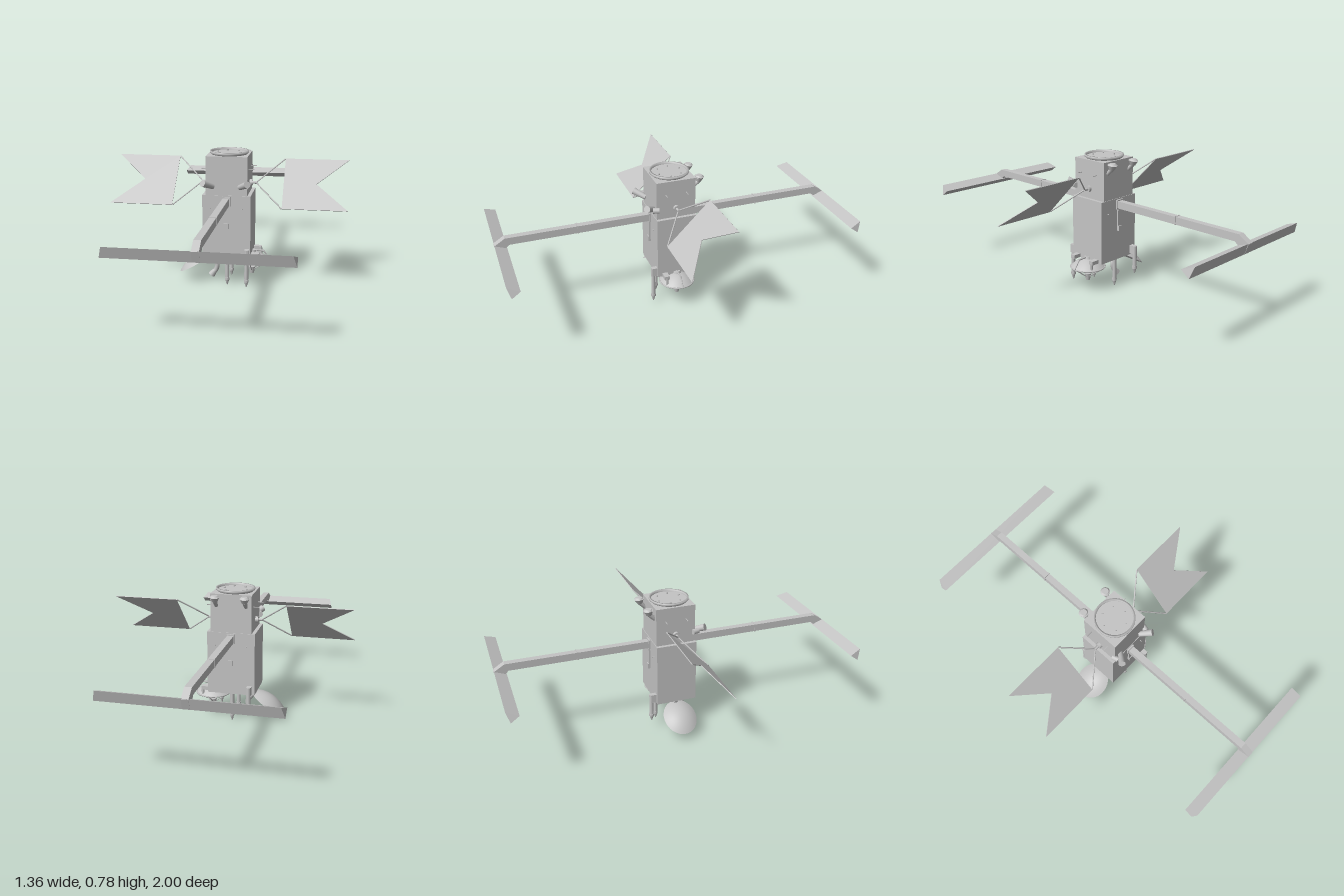
import * as THREE from 'three';

export function createModel() {
  const model = new THREE.Group();
  const grey = new THREE.MeshStandardMaterial({ color: 0xc4c4c4 });
  grey.name = 'light grey';
  grey.side = THREE.DoubleSide;
  const V = (x, y, z) => new THREE.Vector3(x, y, z);

  function add(name, geometry, parent = model) {
    const mesh = new THREE.Mesh(geometry, grey);
    mesh.name = name;
    parent.add(mesh);
    return mesh;
  }
  function box(name, w, h, d, x, y, z, parent) {
    return add(name, new THREE.BoxGeometry(w, h, d).translate(x, y, z), parent);
  }
  // Round rod or cone between two points
  function rod(name, a, b, r0, r1 = r0, sides = 8, parent = model) {
    const dir = b.clone().sub(a);
    const mesh = add(name, new THREE.CylinderGeometry(r1, r0, dir.length(), sides), parent);
    mesh.position.copy(a).addScaledVector(dir, 0.5);
    mesh.quaternion.setFromUnitVectors(V(0, 1, 0), dir.normalize());
    return mesh;
  }
  // Side profile of [z, y] points, extruded across x
  function profile(points, width) {
    const shape = new THREE.Shape(points.map(p => new THREE.Vector2(...p)));
    return new THREE.ExtrudeGeometry(shape, { depth: width, bevelEnabled: false })
      .translate(0, 0, -width / 2).rotateY(-Math.PI / 2);
  }

  // Stepped bus with a docking ring on top
  box('lowerBody', 0.277, 0.367, 0.234, 0, 0.363, 0);
  box('upperBody', 0.237, 0.222, 0.228, 0, 0.657, 0);
  const ring = [[0.102, 0.766], [0.106, 0.77], [0.112, 0.775], [0.112, 0.786], [0.101, 0.786], [0.101, 0.77]];
  add('topRing', new THREE.LatheGeometry(ring.map(p => new THREE.Vector2(...p)), 40));
  add('topPlate', new THREE.CylinderGeometry(0.102, 0.102, 0.006, 40).translate(0, 0.771, 0));
  for (let i = 0; i < 6; i++) {
    const a = i * Math.PI / 3 + 0.2;
    rod('topBolt', V(0.07 * Math.cos(a), 0.772, 0.07 * Math.sin(a)), V(0.07 * Math.cos(a), 0.781, 0.07 * Math.sin(a)), 0.005);
  }

  // Front and rear booms, each carrying a wedge-shaped crossbar
  for (const turn of [0, Math.PI]) {
    const boom = new THREE.Group();
    boom.name = turn ? 'rearBoom' : 'frontBoom';
    boom.rotation.y = turn;
    model.add(boom);
    add('boomBeam', profile([[0.11, 0.491], [0.92, 0.491], [0.98, 0.438], [1, 0.495], [0.94, 0.533], [0.11, 0.533]], 0.037), boom);
    box('boomJoint', 0.041, 0.047, 0.008, 0, 0.512, 0.54, boom);
    box('boomRoot', 0.046, 0.055, 0.012, 0, 0.512, 0.121, boom);
    box('boomBracket', 0.027, 0.14, 0.01, 0, 0.425, 0.121, boom);
    box('bracketFoot', 0.027, 0.03, 0.016, 0, 0.37, 0.123, boom);
    const bar = profile([[0.932, 0.472], [0.979, 0.438], [0.998, 0.497]], 0.914);
    const p = bar.attributes.position;
    for (let i = 0; i < p.count; i++) {
      if (p.getY(i) > 0.49) p.setX(i, Math.sign(p.getX(i)) * 0.44);
    }
    bar.computeVertexNormals();
    add('crossbar', bar, boom);
  }

  // Tilted swallow-tailed panels on forked struts
  for (const s of [-1, 1]) {
    const side = s > 0 ? 'left' : 'right';
    const panel = new THREE.Shape([[0.314, 0.171], [0.68, 0.171], [0.5, 0], [0.68, -0.171], [0.314, -0.171]]
      .map(([x, y]) => new THREE.Vector2(s * x, y)));
    const mesh = add(side + 'Panel', new THREE.ExtrudeGeometry(panel, { depth: 0.004, bevelEnabled: false }).translate(0, 0, -0.002));
    mesh.rotation.x = -Math.PI / 4;
    mesh.position.y = 0.603;
    rod(side + 'PanelHub', V(s * 0.11, 0.603, 0), V(s * 0.135, 0.603, 0), 0.018, 0.018, 12);
    rod(side + 'PanelAxle', V(s * 0.13, 0.603, 0), V(s * 0.16, 0.603, 0), 0.008);
    for (const e of [-1, 1]) {
      rod(side + 'PanelStrut', V(s * 0.155, 0.603, 0), V(s * 0.312, 0.603 + e * 0.12, -e * 0.12), 0.004, 0.004, 6);
      // Thin whisker rods on the flanks
      rod('whisker', V(s * 0.115, 0.69, e * 0.06), V(s * 0.152, 0.69, e * 0.06), 0.0025, 0.0025, 6);
      rod('lowerWhisker', V(s * 0.09, 0.47, e * 0.11), V(s * 0.09, 0.47, e * 0.13), 0.0025, 0.0025, 6);
    }

    // Angled sensors on the front corners
    rod('frontSensorBase', V(s * 0.125, 0.605, 0.1), V(s * 0.115, 0.605, 0.135), 0.016, 0.016, 10);
    rod('frontSensor', V(s * 0.077, 0.596, 0.115), V(s * 0.125, 0.625, 0.172), 0.015, 0.02, 14);
    // Cupped sensors at the top of the rear face
    rod('rearSensorArm', V(s * 0.085, 0.70, -0.11), V(s * 0.085, 0.735, -0.145), 0.011, 0.014);
    rod('rearSensor', V(s * 0.085, 0.73, -0.143), V(s * 0.085, 0.757, -0.148), 0.015, 0.027, 16);
    rod('rearSensorCap', V(s * 0.085, 0.757, -0.148), V(s * 0.085, 0.766, -0.148), 0.027, 0.018, 16);
  }

  // Probes with pointed tips hanging below the body
  function probe(x, z, top, bottom, r = 0.012) {
    const g = new THREE.Group();
    g.name = 'probe';
    model.add(g);
    rod('probeShaft', V(x, top, z), V(x, bottom + 0.03, z), r, r, 10, g);
    rod('probeCollar', V(x, bottom + 0.045, z), V(x, bottom + 0.03, z), r * 1.2, r * 1.2, 10, g);
    rod('probeTip', V(x, bottom + 0.03, z), V(x, bottom, z), r, 0.003, 10, g);
  }
  probe(0, 0.085, 0.19, 0.004);
  probe(0, -0.085, 0.19, 0.004);
  probe(0.12, 0.14, 0.237, 0.015);
  probe(-0.11, -0.145, 0.237, 0.065, 0.013);
  box('probeMount', 0.026, 0.05, 0.04, 0.12, 0.212, 0.128);
  box('probeMount', 0.026, 0.05, 0.04, -0.11, 0.212, -0.13);
  for (const z of [-0.075, 0.075]) {
    box('sideFitting', 0.05, 0.022, 0.03, 0.16, 0.19, z);
    rod('sideFittingLeg', V(0.18, 0.19, z), V(0.18, 0.145, z), 0.008);
  }

  // Bowl opening downward, rim at y = 0
  function bowl(radius, depth) {
    const pts = [];
    for (let i = 0; i <= 10; i++) {
      const t = i / 10;
      pts.push(new THREE.Vector2(radius * t, depth * (1 - t * t)));
    }
    return new THREE.LatheGeometry(pts, 32);
  }

  // Tilted reflector with its curved feed
  const reflector = new THREE.Group();
  reflector.name = 'tiltedReflector';
  reflector.position.set(-0.2, 0.108, 0);
  reflector.rotation.z = 0.54;
  model.add(reflector);
  add('reflectorBowl', bowl(0.112, 0.036), reflector).scale.z = 0.86;
  add('reflectorFace', bowl(0.112, 0.01), reflector).scale.z = 0.86;
  rod('reflectorArm', V(-0.13, 0.165, 0), V(-0.07, 0.18, 0), 0.012);
  const feed = new THREE.CatmullRomCurve3([V(-0.085, 0.18, 0), V(-0.1, 0.14, 0), V(-0.075, 0.1, 0), V(-0.08, 0.065, 0), V(-0.1, 0.04, 0)]);
  add('feedArm', new THREE.TubeGeometry(feed, 20, 0.014, 8));
  rod('feedHorn', V(-0.085, 0.06, 0), V(-0.108, 0.03, 0), 0.014, 0.021, 12);

  // Downward dish with a tripod feed
  const dish = new THREE.Group();
  dish.name = 'downwardDish';
  dish.position.set(0.135, 0.14, 0);
  model.add(dish);
  add('dishBowl', bowl(0.102, 0.05), dish);
  add('dishRim', new THREE.TorusGeometry(0.101, 0.004, 6, 32).rotateX(Math.PI / 2), dish);
  for (let i = 0; i < 4; i++) {
    const a = i * Math.PI / 2;
    rod('dishStrut', V(0.1 * Math.cos(a), 0, 0.1 * Math.sin(a)), V(0.01 * Math.cos(a), -0.065, 0.01 * Math.sin(a)), 0.003, 0.003, 6, dish);
  }
  rod('dishFeed', V(0, -0.045, 0), V(0, -0.085, 0), 0.02, 0.012, 12, dish);
  rod('dishMount', V(0, 0.03, 0), V(0, 0.06, 0), 0.03, 0.02, 12, dish);
  rod('dishBrace', V(0.07, 0.055, 0), V(0.104, 0.005, 0), 0.004, 0.004, 6, dish);
  rod('dishBraceTop', V(0, 0.058, 0), V(0.07, 0.055, 0), 0.005, 0.005, 6, dish);

  return model;
}
